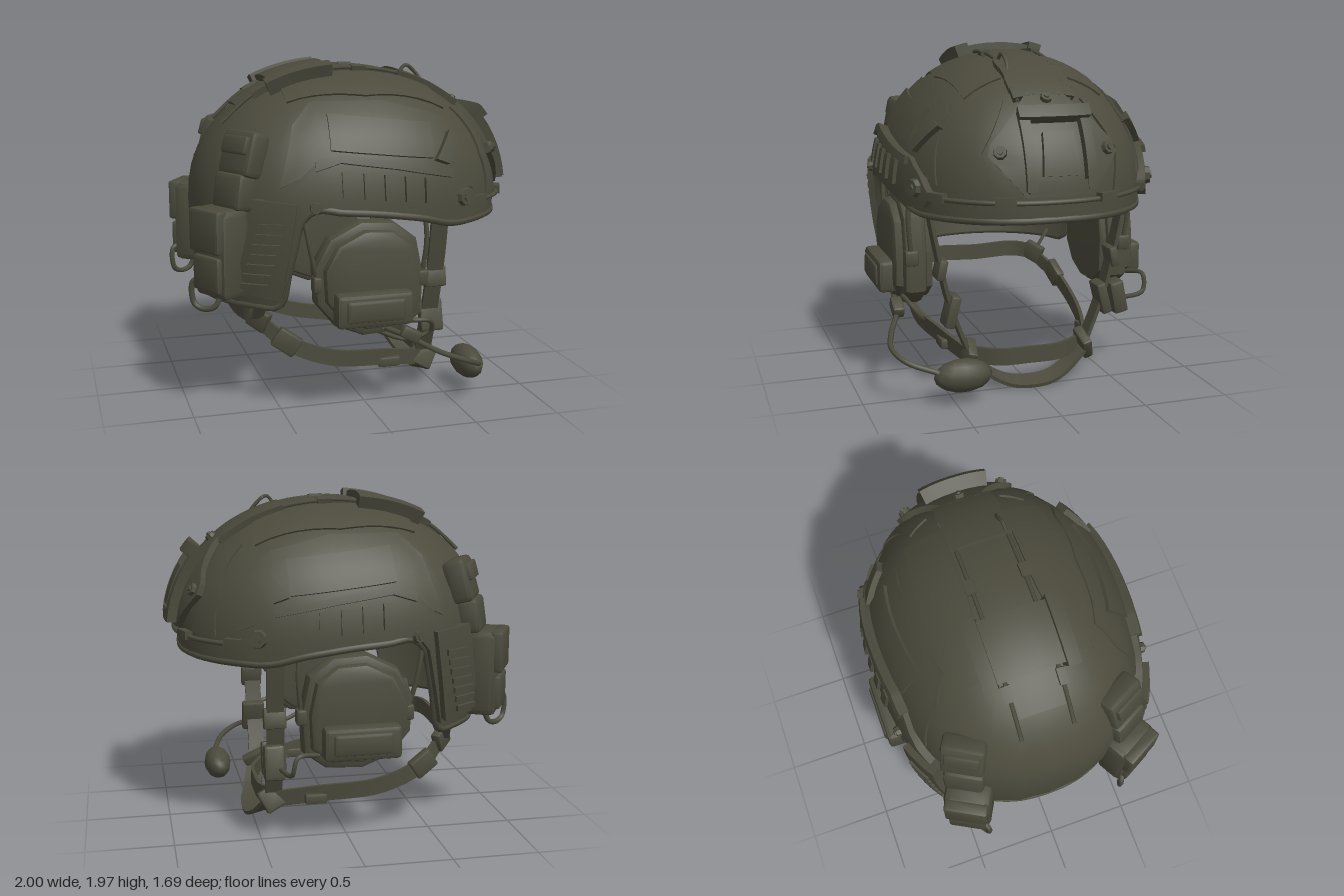
import * as THREE from 'three';
import { toCreasedNormals } from 'three/addons/utils/BufferGeometryUtils.js';
import { RoundedBoxGeometry } from 'three/addons/geometries/RoundedBoxGeometry.js';

const olive = new THREE.MeshStandardMaterial({ color: 0x4b4a3c, side: THREE.DoubleSide });
olive.name = 'olive drab';
const V = (x, y, z) => new THREE.Vector3(x, y, z);

// Shell surface: a super-elliptic dome, tapering a little below the widest level
const A = 0.92, C = 0.735, N = 2.35, MID = 1.15, H = 0.755, P = 2.08;
const level = y => y > MID ? Math.max(0, 1 - ((y - MID) / H) ** P) ** (1 / P) : 1 - 0.06 * ((MID - y) / 0.55) ** 2;
const rest = (k, t) => Math.max(0, k ** N - Math.abs(t) ** N) ** (1 / N);
const field = p => Math.abs(p.x / A) ** N + Math.abs(p.z / C) ** N - level(p.y) ** N;
function normalAt(p) {
  const e = 0.004, d = v => field(p.clone().add(v)) - field(p.clone().sub(v));
  return V(d(V(e, 0, 0)), d(V(0, e, 0)), d(V(0, 0, e))).normalize();
}
const onShell = {
  side: (x, y) => V(x, y, C * rest(level(y), x / A)),
  front: (z, y) => V(A * rest(level(y), z / C), y, z),
  top: (x, z) => {
    const k = (Math.abs(x / A) ** N + Math.abs(z / C) ** N) ** (1 / N);
    return V(x, MID + H * Math.max(0, 1 - k ** P) ** (1 / P), z);
  },
};

function add(parent, name, geometry, crease = 0.6) {
  const mesh = new THREE.Mesh(toCreasedNormals(geometry, crease), olive);
  mesh.name = name;
  parent.add(mesh);
  return mesh;
}

// Reshapes a subdivided unit box by at(u, v, w) and keeps its faces outward
function bentBox(nu, nv, at) {
  const g = new THREE.BoxGeometry(1, 1, 1, nu, nv, 1), pos = g.attributes.position;
  for (let i = 0; i < pos.count; i++) {
    const p = at(pos.getX(i) + 0.5, pos.getY(i) + 0.5, pos.getZ(i) + 0.5);
    pos.setXYZ(i, p.x, p.y, p.z);
  }
  const o = at(0.5, 0.5, 0.5), du = at(0.52, 0.5, 0.5).sub(o), dv = at(0.5, 0.55, 0.5).sub(o), dw = at(0.5, 0.5, 1).sub(o);
  if (du.cross(dv).dot(dw) < 0) {
    const idx = g.index;
    for (let i = 0; i < idx.count; i += 3) {
      const a = idx.getX(i);
      idx.setX(i, idx.getX(i + 1));
      idx.setX(i + 1, a);
    }
  }
  return g;
}

// Plate lying on the shell; rows are pairs of points [a1, b1, a2, b2] along its length
function pad(parent, name, axis, rows, thick, s = 1) {
  const n = rows.length - 1, sub = Math.max(2, Math.ceil(12 / n)), base = -0.01;
  add(parent, name, bentBox(n * sub, 6, (u, v, w) => {
    const i = Math.min(n - 1, Math.floor(u * n + 1e-6)), f = u * n - i;
    const r = rows[i].map((q, j) => q + (rows[i + 1][j] - q) * f);
    const p = onShell[axis](r[0] + (r[2] - r[0]) * v, r[1] + (r[3] - r[1]) * v);
    p.addScaledVector(normalAt(p), base + (thick - base) * w);
    p.z *= s;
    return p;
  }));
}
const rect = (a0, a1, b0, b1) => [[a0, b0, a0, b1], [a1, b0, a1, b1]];

// Flat webbing along a path
function ribbon(parent, name, pts, across, width) {
  const curve = new THREE.CatmullRomCurve3(pts), side = across.clone().normalize();
  add(parent, name, bentBox(28, 1, (u, v, w) => {
    const n = curve.getTangent(u).cross(side).normalize();
    return curve.getPoint(u).addScaledVector(side, (v - 0.5) * width).addScaledVector(n, (w - 0.5) * 0.022);
  }));
}
const tube = (parent, name, pts, r, closed = false, n = 40) =>
  add(parent, name, new THREE.TubeGeometry(new THREE.CatmullRomCurve3(pts, closed), n, r, 6, closed), 1.2);
function block(parent, name, size, at, rot = [0, 0, 0]) {
  const m = add(parent, name, new RoundedBoxGeometry(...size, 1, Math.min(...size) * 0.2), 0.5);
  m.position.set(...at);
  m.rotation.set(...rot);
}
function bolt(parent, name, axis, a, b, r, s = 1, lift = 0.055) {
  const p = onShell[axis](a, b), n = normalAt(p);
  p.addScaledVector(n, lift);
  p.z *= s; n.z *= s;
  [[r, 0.03, 8], [r * 0.5, 0.05, 6]].forEach(([rad, h, sides]) => {
    const m = add(parent, name, new THREE.CylinderGeometry(rad * 0.85, rad, h, sides));
    m.position.copy(p);
    m.quaternion.setFromUnitVectors(V(0, 1, 0), n);
  });
}

// Lower edge of the shell: [angle from the front, height]
const RIM = [[0, 1.07], [60, 1.06], [66, 1.07], [76, 1.11], [90, 1.15], [108, 1.18], [113, 1.12], [122, 0.66], [125, 0.62], [180, 0.63]];
function rimHeight(deg) {
  const i = Math.max(1, RIM.findIndex(r => r[0] >= deg - 1e-6)), [a, ya] = RIM[i - 1], [b, yb] = RIM[i];
  return ya + (yb - ya) * (deg - a) / (b - a);
}
const ANGLES = [0, 10, 20, 30, 40, 50, 60, 66, 71, 76, 83, 90, 99, 108, 113, 116, 119, 122, 125, 135, 145, 155, 168, 180];
const COLUMNS = [...ANGLES, ...ANGLES.slice(0, -1).reverse().map(a => -a)];
function shellPoint(deg, y, scale = 1) {
  const t = deg * Math.PI / 180, k = level(y) * scale, pw = q => Math.sign(q) * Math.abs(q) ** (2 / N);
  return V(A * k * pw(Math.cos(t)), y, C * k * pw(Math.sin(t)));
}

function buildShell(g) {
  const cols = COLUMNS.length - 1, rows = 33;
  const geo = new THREE.PlaneGeometry(1, 1, cols, rows), pos = geo.attributes.position;
  for (let i = 0; i < pos.count; i++) {
    const c = i % (cols + 1), r = Math.floor(i / (cols + 1)), deg = COLUMNS[c], low = rimHeight(Math.abs(deg));
    const inner = r > 16, f = inner ? (33 - r) / 16 : r / 16;
    const y = MID + H - (MID + H - low) * (1 - Math.cos(f * Math.PI / 2));
    const p = shellPoint(deg, y, inner ? 0.95 : 1);
    if (inner) p.y -= 0.045 * Math.max(0, (y - MID) / H);
    pos.setXYZ(i, p.x, p.y, p.z);
  }
  geo.index.array.reverse();
  // keep the outer skin facing outward
  const [a, b, c] = [0, 1, 2].map(j => V().fromBufferAttribute(pos, geo.index.getX(geo.index.count * 0.75 + j)));
  if (b.clone().sub(a).cross(c.clone().sub(a)).dot(V(a.x, a.y - MID, a.z)) < 0) geo.index.array.reverse();
  add(g, 'helmetShell', geo, 0.7);
  tube(g, 'rimTrim', COLUMNS.slice(0, -1).map(d => shellPoint(d, rimHeight(Math.abs(d)), 0.985)), 0.022, true, 140);
}

// Two stacked counterweight pouches on one rear corner, built facing local -x
function buildPouches(g, s) {
  const stack = (name, x, y, z, tilt, boxes) => {
    const pouch = new THREE.Group();
    pouch.name = name;
    pouch.position.set(x, y, s * z);
    pouch.rotation.set(0, s * 0.5, tilt, 'YXZ');
    boxes.forEach(([part, size, at]) => block(pouch, part, size, at));
    g.add(pouch);
  };
  stack('upperPouch', -0.68, 1.47, 0.46, -0.28, [['pouchBody', [0.13, 0.25, 0.25], [0, 0, 0]], ['pouchTab', [0.06, 0.1, 0.2], [-0.06, 0.04, 0]]]);
  stack('pouchBridge', -0.74, 1.27, 0.48, -0.15, [['bridgeBody', [0.13, 0.2, 0.23], [0, 0, 0]]]);
  stack('lowerPouch', -0.82, 0.95, 0.49, 0, [['pouchBody', [0.19, 0.5, 0.27], [0, -0.01, 0]],
    ['pouchFlap', [0.08, 0.24, 0.25], [-0.09, 0.12, 0]], ['pouchBase', [0.08, 0.2, 0.22], [-0.08, -0.12, 0]]]);
  tube(g, 'pouchLoop', [V(-0.84, 0.74, s * 0.48), V(-0.97, 0.77, s * 0.43), V(-0.97, 0.64, s * 0.43), V(-0.92, 0.61, s * 0.46), V(-0.86, 0.63, s * 0.49)], 0.016, true);
}

function buildEarCup(g, s) {
  const outline = [[-0.07, 1.07], [0.1, 1.06], [0.22, 0.97], [0.26, 0.78], [0.25, 0.57], [0.14, 0.49], [-0.05, 0.48], [-0.2, 0.54], [-0.3, 0.66], [-0.31, 0.85], [-0.23, 0.99]];
  const shape = new THREE.Shape(outline.map(([x, y]) => new THREE.Vector2(x, y)));
  const cup = new THREE.Group();
  cup.name = 'earCup';
  const layer = (name, depth, bevel, scale, at) => {
    const geo = new THREE.ExtrudeGeometry(shape, { depth, bevelThickness: bevel, bevelSize: 0.035, bevelSegments: 2 });
    geo.translate(0, -0.78, 0).scale(scale, scale, 1).translate(0, 0.78, at);
    if (s < 0) { // mirror, keeping the faces outward
      geo.scale(1, 1, -1);
      const p = geo.attributes.position;
      for (let i = 0; i < p.count; i += 3) {
        const a = V().fromBufferAttribute(p, i), b = V().fromBufferAttribute(p, i + 1);
        p.setXYZ(i, b.x, b.y, b.z);
        p.setXYZ(i + 1, a.x, a.y, a.z);
      }
    }
    add(cup, name, geo);
  };
  layer('earCushion', 0.04, 0.02, 0.9, 0.54);
  layer('cupBody', 0.06, 0.04, 1, 0.6);
  layer('cupCap', 0.03, 0.04, 0.86, 0.68);
  block(cup, 'cupControl', [0.44, 0.19, 0.12], [-0.03, 0.63, s * 0.77]);
  block(cup, 'cupControlFace', [0.34, 0.13, 0.1], [-0.03, 0.63, s * 0.795]);
  block(cup, 'cupHinge', [0.06, 0.09, 0.08], [-0.32, 0.76, s * 0.66]);
  block(cup, 'cupHinge', [0.06, 0.09, 0.08], [0.29, 0.76, s * 0.66]);
  tube(cup, 'cupArm', [V(-0.4, 1.15, s * 0.67), V(-0.37, 0.98, s * 0.68), V(-0.32, 0.76, s * 0.66)], 0.014);
  tube(cup, 'cupArm', [V(0.3, 1.14, s * 0.67), V(0.31, 0.98, s * 0.68), V(0.29, 0.76, s * 0.66)], 0.014);
  g.add(cup);
}

function buildHarness(g, z) {
  ribbon(g, 'frontStrap', [V(0.42, 1.12, z * 0.6), V(0.42, 0.85, z * 0.55), V(0.41, 0.5, z * 0.47), V(0.41, 0.18, z * 0.35)], V(1, 0, 0), 0.1);
  block(g, 'strapBuckle', [0.13, 0.12, 0.05], [0.42, 0.72, z * 0.525], [z * -0.2, 0, 0]);
  block(g, 'strapAdjuster', [0.14, 0.19, 0.06], [0.42, 0.47, z * 0.465], [z * -0.25, 0, 0]);
  ribbon(g, 'rearStrap', [V(0.42, 0.18, z * 0.36), V(0.15, 0.23, z * 0.45), V(-0.2, 0.28, z * 0.52), V(-0.45, 0.38, z * 0.5), V(-0.6, 0.5, z * 0.4)], V(0.15, 1, 0), 0.095);
  block(g, 'rearBuckle', [0.15, 0.12, 0.055], [-0.46, 0.39, z * 0.5], [0, z * -0.2, -0.6]);
  block(g, 'napeBuckle', [0.13, 0.12, 0.06], [-0.6, 0.51, z * 0.4], [0, z * -0.8, -0.4]);
  block(g, 'chinBuckle', [0.15, 0.14, 0.06], [0.41, 0.19, z * 0.36], [z * -0.3, 0, -0.5]);
  block(g, 'strapKeeper', [0.13, 0.06, 0.05], [0.17, 0.2, z * 0.45]);
  ribbon(g, 'napeAnchor', [V(-0.6, 0.66, z * 0.5), V(-0.61, 0.52, z * 0.42)], V(1, 0, 0.5), 0.07);
}

function buildSide(g, s) {
  // accessory rail
  pad(g, 'rail', 'side', [[-0.5, 0.68, -0.73, 0.72], [-0.41, 1.12, -0.63, 1.22], [-0.36, 1.18, -0.5, 1.27], [-0.27, 1.2, -0.33, 1.42],
    [-0.17, 1.2, -0.2, 1.46], [0.1, 1.17, 0.1, 1.42], [0.33, 1.13, 0.42, 1.36], [0.42, 1.1, 0.53, 1.28], [0.57, 1.11, 0.61, 1.18]], 0.045, s);
  pad(g, 'rearRailPlate', 'side', [[-0.5, 0.71, -0.71, 0.74], [-0.43, 1.22, -0.63, 1.24]], 0.085, s);
  for (let i = 0; i < 7; i++) {
    const y = 0.76 + i * 0.055, x = -0.68 + i * 0.012;
    pad(g, 'rearRailRib', 'side', rect(x, x + 0.12, y, y + 0.032), 0.1, s);
  }
  for (let i = 0; i < 5; i++) {
    const x = -0.2 + i * 0.115, y = 1.25 - i * 0.012;
    pad(g, 'railRib', 'side', rect(x, x + 0.055, y, y + 0.13), 0.065, s);
  }
  pad(g, 'railLip', 'side', [[-0.33, 1.38, -0.33, 1.43], [-0.2, 1.42, -0.2, 1.46], [0.1, 1.38, 0.1, 1.42], [0.42, 1.32, 0.42, 1.36]], 0.07, s);
  bolt(g, 'railBolt', 'side', -0.34, 1.2, 0.035, s);
  bolt(g, 'railBolt', 'side', 0.51, 1.21, 0.055, s);
  // fabric cover panels and patch
  pad(g, 'sidePanel', 'side', [[-0.52, 1.3, -0.42, 1.62], [-0.25, 1.42, -0.3, 1.74], [0.1, 1.4, 0.1, 1.74], [0.42, 1.33, 0.42, 1.66], [0.62, 1.24, 0.5, 1.6]], 0.01, s);
  pad(g, 'sidePatch', 'side', [[-0.24, 1.49, -0.23, 1.67], [0.34, 1.43, 0.35, 1.61]], 0.03, s);
  pad(g, 'frontClip', 'side', [[0.35, 1.42, 0.43, 1.39], [0.46, 1.56, 0.53, 1.53]], 0.045, s);
  pad(g, 'crownPanel', 'top', [[-0.42, s * 0.22, -0.42, s * 0.38], [0.02, s * 0.18, 0.02, s * 0.44], [0.48, s * 0.18, 0.5, s * 0.4]], 0.01);
  pad(g, 'browPanel', 'front', [[s * 0.34, 1.2, s * 0.5, 1.2], [s * 0.38, 1.42, s * 0.46, 1.42], [s * 0.22, 1.68, s * 0.34, 1.68]], 0.01);
  // crown tube with its cable
  pad(g, 'crownTube', 'top', rect(-0.48, -0.12, s * 0.18, s * 0.25), 0.08);
  tube(g, 'crownCable', [-0.75, -0.6, -0.48, -0.1, 0.1, 0.3, 0.5, 0.68].map(x => onShell.top(x, s * 0.15).add(V(0, 0.02, 0))), 0.012);
  [-0.56, 0.02, 0.33, 0.52].forEach(x => pad(g, 'cableClip', 'top', rect(x, x + 0.08, s * 0.125, s * 0.175), 0.035));
  [0.28, 0.6].forEach(q => pad(g, 'browClip', 'front', rect(s * q - 0.05, s * q + 0.05, 1.155, 1.2), 0.045));
}

function buildCentre(g) {
  pad(g, 'crownStrip', 'top', rect(-0.65, 0.36, -0.13, 0.13), 0.018);
  pad(g, 'crownPlate', 'top', rect(-0.46, -0.14, -0.2, 0.2), 0.06);
  pad(g, 'frontStrip', 'top', rect(0.3, 0.66, -0.17, 0.17), 0.035);
  tube(g, 'cableSlack', [V(0.3, 1.85, 0.15), V(0.36, 1.92, 0.14), V(0.42, 1.88, 0.13), V(0.48, 1.8, 0.14)], 0.011);
  // front mounting shroud
  pad(g, 'shroudBase', 'front', [[-0.18, 1.2, 0.18, 1.2], [-0.35, 1.4, 0.35, 1.4], [-0.33, 1.46, 0.33, 1.46], [-0.1, 1.7, 0.1, 1.7]], 0.035);
  pad(g, 'shroudPlate', 'front', rect(-0.17, 0.17, 1.24, 1.6), 0.05);
  pad(g, 'shroudTopBar', 'front', rect(-0.18, 0.18, 1.55, 1.6), 0.12);
  pad(g, 'shroudBottomBar', 'front', rect(-0.17, 0.17, 1.22, 1.28), 0.085);
  [-1, 1].forEach(s => {
    pad(g, 'shroudSideBar', 'front', rect(s * 0.13, s * 0.18, 1.23, 1.57), 0.09);
    bolt(g, 'shroudBolt', 'front', s * 0.29, 1.42, 0.04, 1, 0.04);
  });
  pad(g, 'shroudSlider', 'front', [[-0.1, 1.3, 0.1, 1.3], [-0.08, 1.5, 0.08, 1.5]], 0.085);
  bolt(g, 'shroudBolt', 'front', 0, 1.67, 0.035, 1, 0.04);
  const cord = Array.from({ length: 17 }, (_, i) => {
    const p = onShell.front((i - 8) * 0.084, 1.17);
    return p.addScaledVector(normalAt(p), 0.02);
  });
  tube(g, 'browCord', cord, 0.014);
  // chin cup and nape strap
  ribbon(g, 'chinStrap', [V(0.42, 0.17, 0.35), V(0.46, 0.07, 0.22), V(0.49, 0.025, 0.1), V(0.49, 0.025, -0.1), V(0.46, 0.07, -0.22), V(0.42, 0.17, -0.35)], V(1, -0.25, 0), 0.12);
  ribbon(g, 'chinCup', [V(0.38, 0.18, 0.34), V(0.46, 0.17, 0.18), V(0.47, 0.17, 0), V(0.46, 0.17, -0.18), V(0.38, 0.18, -0.34)], V(0, 1, 0), 0.1);
  ribbon(g, 'napeStrap', [V(-0.58, 0.51, 0.41), V(-0.66, 0.53, 0.28), V(-0.68, 0.52, 0), V(-0.66, 0.53, -0.28), V(-0.58, 0.51, -0.41)], V(0, 1, 0), 0.1);
  // microphone on its boom, with the talk switch on the other side
  tube(g, 'micBoom', [V(0.05, 0.5, 0.72), V(0.2, 0.43, 0.73), V(0.36, 0.35, 0.8), V(0.5, 0.3, 0.83), V(0.6, 0.25, 0.77), V(0.67, 0.19, 0.6)], 0.016);
  block(g, 'micBoomJoint', [0.12, 0.07, 0.07], [0.2, 0.45, 0.73], [0, 0, -0.5]);
  const mic = add(g, 'microphone', new THREE.SphereGeometry(1, 12, 8), 1);
  mic.scale.set(0.085, 0.095, 0.17);
  mic.position.set(0.66, 0.16, 0.46);
  block(g, 'talkSwitch', [0.12, 0.2, 0.09], [0.43, 0.47, -0.56], [0.2, 0, 0]);
  tube(g, 'switchCable', [V(0.2, 0.55, -0.72), V(0.33, 0.56, -0.78), V(0.36, 0.46, -0.77), V(0.4, 0.44, -0.6)], 0.014);
  tube(g, 'headsetCable', [V(0.22, 0.52, 0.7), V(0.34, 0.5, 0.68), V(0.36, 0.42, 0.62), V(0.22, 0.38, 0.6), V(0.04, 0.45, 0.62)], 0.014);
}

export function createModel() {
  const model = new THREE.Group();
  model.name = 'helmet';
  buildShell(model);
  buildCentre(model);
  [1, -1].forEach(s => {
    const side = new THREE.Group();
    side.name = s > 0 ? 'leftSide' : 'rightSide';
    [buildSide, buildPouches, buildEarCup, buildHarness].forEach(build => build(side, s));
    model.add(side);
  });
  return model;
}
